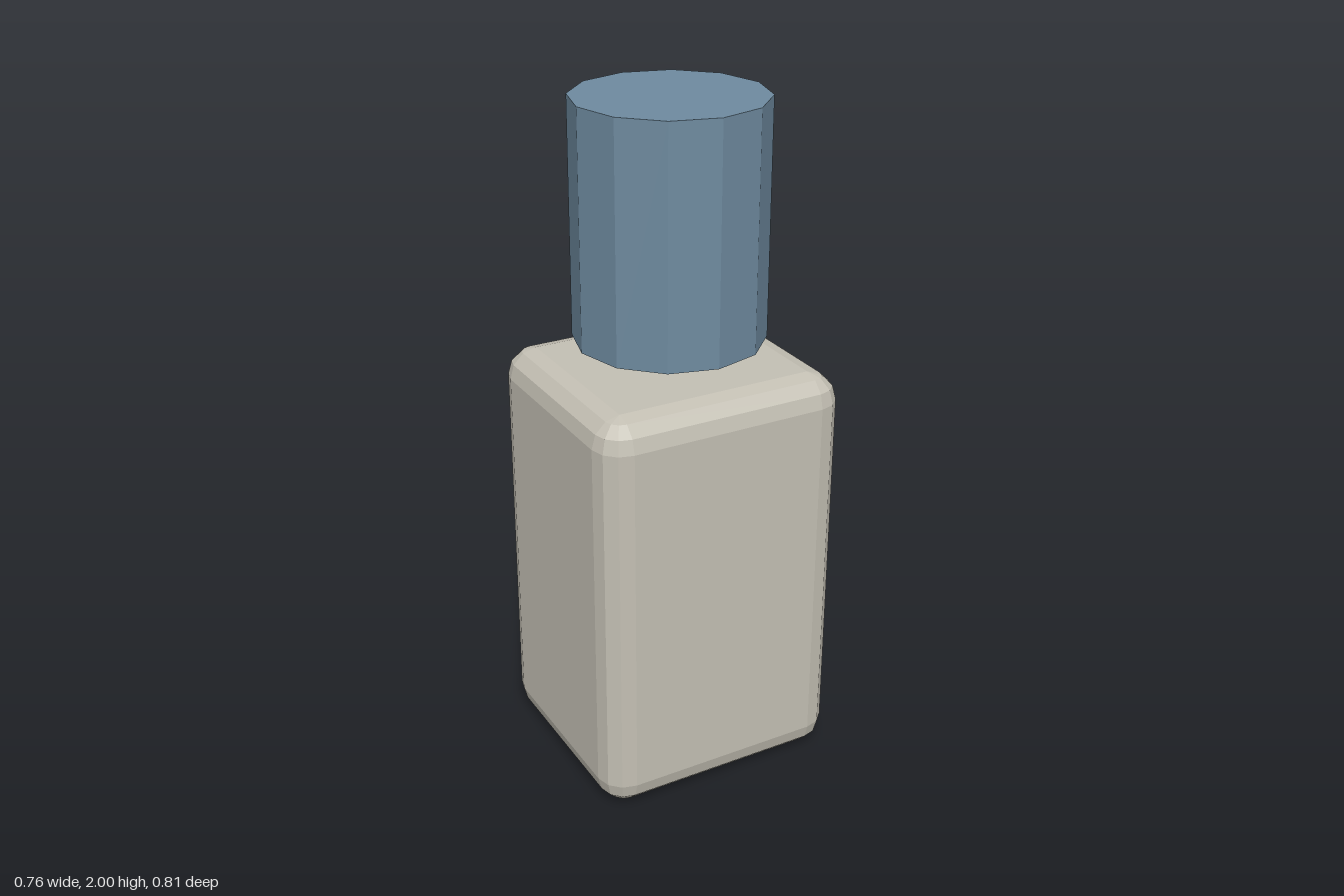
import * as THREE from 'three';
import { ConvexGeometry } from 'three/addons/geometries/ConvexGeometry.js';

const material = (name, color) => {
  const m = new THREE.MeshStandardMaterial({ color });
  m.name = name;
  return m;
};

// Box with every edge rounded in three flat steps: the hull of eight sphere corners
function bevelledBox(w, h, d, r) {
  const points = [];
  const step = Math.PI / 6;
  for (const sx of [-1, 1]) for (const sy of [-1, 1]) for (const sz of [-1, 1]) {
    for (let i = 0; i <= 3; i++) {
      for (let j = 0; j <= (i === 3 ? 0 : 3); j++) {
        const ring = i === 3 ? 0 : r * Math.cos(i * step);
        points.push(new THREE.Vector3(
          sx * (w / 2 - r + (j === 3 ? 0 : ring * Math.cos(j * step))),
          sy * (h / 2 - r + r * Math.sin(i * step)),
          sz * (d / 2 - r + ring * Math.sin(j * step))
        ));
      }
    }
  }
  return new ConvexGeometry(points);
}

export function createModel() {
  const group = new THREE.Group();
  const stone = material('warm grey', 0xc4c0b4);
  const blue = material('slate blue', 0x6f8ba0);
  const teal = material('teal', 0x4a9591);

  const add = (name, geometry, mat, x, y, z) => {
    const mesh = new THREE.Mesh(geometry, mat);
    mesh.name = name;
    mesh.position.set(x, y, z);
    group.add(mesh);
  };

  const axisZ = 0.058;

  // Bottle body
  add('body', bevelledBox(0.758, 1.24, 0.69, 0.084), stone, 0, 0.62, axisZ);

  // Twelve-sided cap floating just above the body
  const cap = new THREE.CylinderGeometry(0.2755, 0.2755, 0.686, 12).toNonIndexed();
  cap.computeVertexNormals();
  add('cap', cap, blue, 0, 1.657, axisZ);

  // Small button on the back
  add('backButton', bevelledBox(0.138, 0.11, 0.12, 0.036), teal, 0, 1.037, -0.343);

  return group;
}
